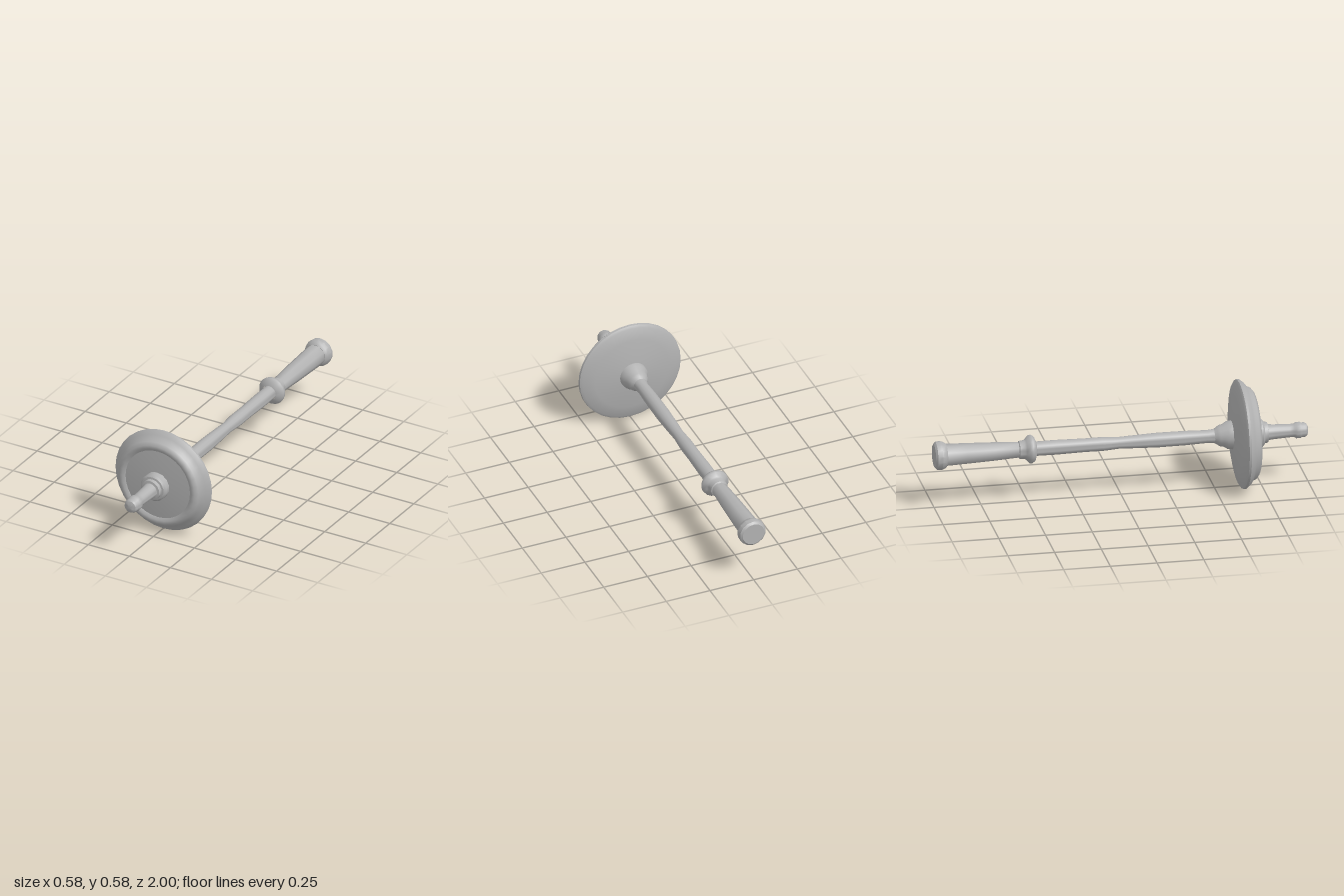
import * as THREE from 'three';
import { toCreasedNormals } from 'three/addons/utils/BufferGeometryUtils.js';

const AXIS_Y = 0.2925;

export function createModel() {
  const group = new THREE.Group();
  const metal = new THREE.MeshStandardMaterial({ color: 0xb2b2b2 });
  metal.name = 'grey metal';

  // Turned part: profile of [radius, z] pairs, listed from back to front
  function turned(name, profile, sides, crease = 0.6) {
    const points = profile.map(([r, z]) => new THREE.Vector2(r, z));
    let geometry = new THREE.LatheGeometry(points, sides);
    geometry.rotateX(Math.PI / 2);
    geometry = toCreasedNormals(geometry, crease);
    const mesh = new THREE.Mesh(geometry, metal);
    mesh.name = name;
    mesh.position.y = AXIS_Y;
    group.add(mesh);
  }

  // Pommel knob at the back end
  turned('pommel', [
    [0, -1], [0.062, -1], [0.074, -0.99], [0.077, -0.965],
    [0.07, -0.945], [0.06, -0.935], [0, -0.935],
  ], 14);

  // Tapered, faceted grip
  turned('grip', [
    [0, -0.94], [0.06, -0.94], [0.056, -0.83], [0.05, -0.68], [0.042, -0.545], [0, -0.545],
  ], 9, 0.75);

  // Ring between grip and shaft
  turned('gripCollar', [
    [0.04, -0.55], [0.047, -0.545], [0.05, -0.52], [0.056, -0.51], [0.074, -0.495],
    [0.076, -0.48], [0.066, -0.465], [0.04, -0.455],
  ], 18, 0.8);

  // Gently uneven shaft
  turned('shaft', [
    [0.038, -0.47], [0.039, -0.35], [0.036, -0.2], [0.037, -0.1], [0.031, -0.01],
    [0.035, 0.08], [0.039, 0.2], [0.038, 0.34], [0.034, 0.46], [0.04, 0.52],
  ], 14, 0.9);

  // Stepped hub behind the disc
  turned('rearHub', [
    [0.036, 0.495], [0.046, 0.51], [0.056, 0.525], [0.06, 0.545],
    [0.073, 0.565], [0.078, 0.6],
  ], 16, 0.7);

  // Guard disc: shallow cone at the back, raised ring and recessed face in front
  turned('guardDisc', [
    [0.03, 0.588], [0.08, 0.592], [0.21, 0.611], [0.275, 0.625], [0.289, 0.634],
    [0.291, 0.646], [0.272, 0.668], [0.252, 0.682], [0.245, 0.7], [0.228, 0.714],
    [0.21, 0.714], [0.196, 0.704], [0.08, 0.714], [0.03, 0.714],
  ], 32, 0.7);

  // Stepped collar in front of the disc
  turned('frontCollar', [
    [0.076, 0.7], [0.077, 0.75], [0.068, 0.76], [0.057, 0.762],
    [0.055, 0.782], [0.04, 0.785],
  ], 14, 0.6);

  // Short front spindle with a rounded tip
  turned('frontSpindle', [
    [0.043, 0.77], [0.039, 0.82], [0.035, 0.9], [0.036, 0.925], [0.043, 0.935],
    [0.043, 0.958], [0.039, 0.965], [0.039, 0.98], [0.033, 0.992], [0.019, 0.998], [0, 1],
  ], 18, 0.7);

  return group;
}
